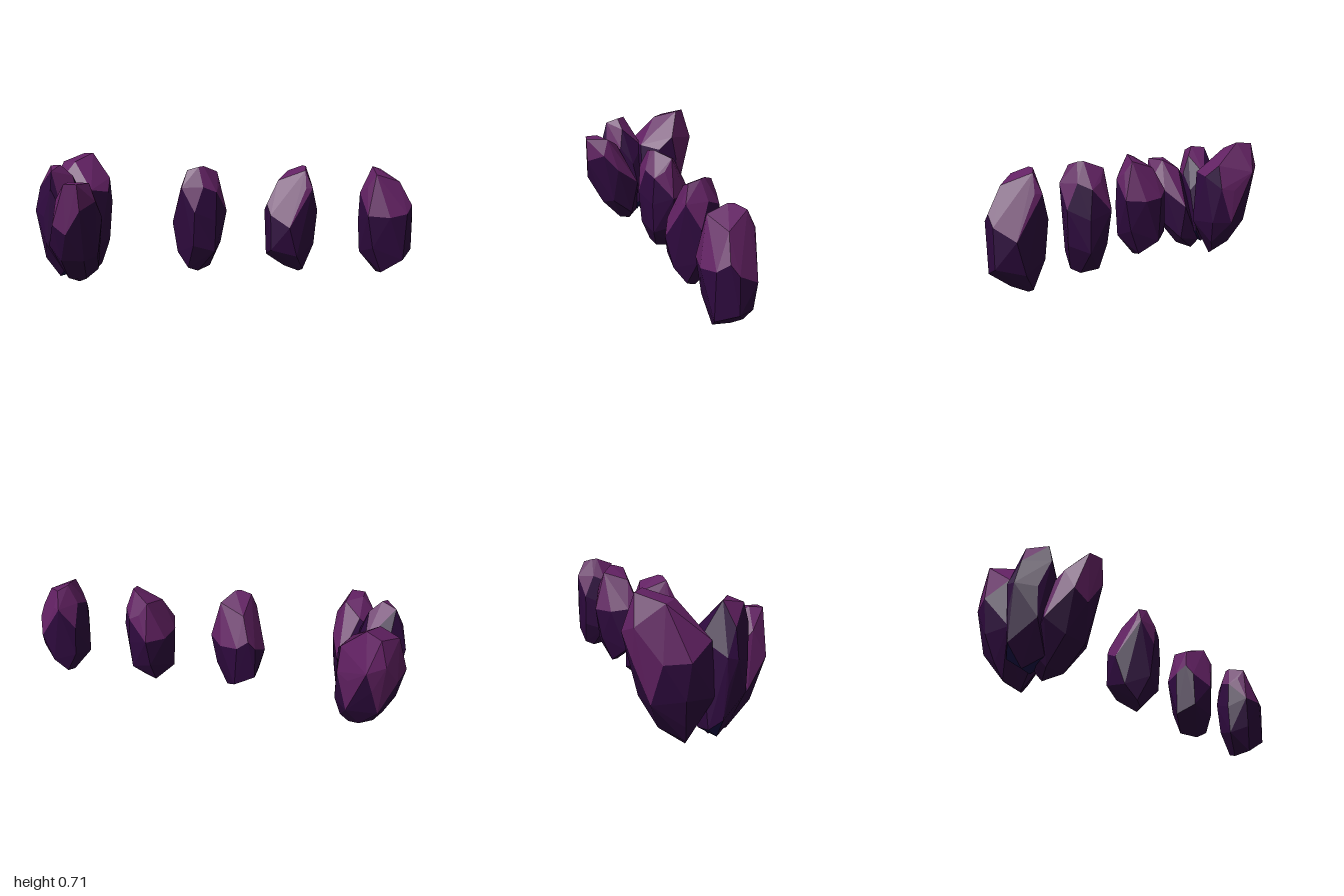
import * as THREE from 'three';
import { ConvexGeometry } from 'three/addons/geometries/ConvexGeometry.js';

// Cut stone: convex hull of its corners. Facets leaning towards the tip axis
// take the tip colour, facets facing well away from it the foot colour.
function makeCrystal(name, corners, tipAxis, materials, limit) {
  const hull = new ConvexGeometry(corners.map((c) => new THREE.Vector3(...c)));
  const pos = hull.getAttribute('position');
  const axis = new THREE.Vector3(...tipAxis).normalize();
  const sides = { Body: [], Tip: [], Foot: [] };
  const tri = new THREE.Triangle();
  const normal = new THREE.Vector3();
  for (let i = 0; i < pos.count; i += 3) {
    tri.setFromAttributeAndIndices(pos, i, i + 1, i + 2);
    tri.getNormal(normal);
    const lean = normal.dot(axis);
    const list = lean > limit ? sides.Tip : lean < -0.5 ? sides.Foot : sides.Body;
    for (const p of [tri.a, tri.b, tri.c]) list.push(p.x, p.y, p.z);
  }
  const group = new THREE.Group();
  group.name = name;
  for (const part of ['Body', 'Tip', 'Foot']) {
    const geometry = new THREE.BufferGeometry();
    geometry.setAttribute('position', new THREE.Float32BufferAttribute(sides[part], 3));
    geometry.computeVertexNormals();
    const mesh = new THREE.Mesh(geometry, materials[part]);
    mesh.name = name + part;
    group.add(mesh);
  }
  return group;
}

function makeMaterial(name, color) {
  const material = new THREE.MeshStandardMaterial({ color });
  material.name = name;
  return material;
}

export function createModel() {
  const dark = makeMaterial('dark purple', 0x2f0a3f);
  const light = makeMaterial('light purple', 0x622163);
  const blue = makeMaterial('dark blue', 0x171048);
  const plain = { Body: dark, Tip: light, Foot: dark };
  const blueFooted = { Body: dark, Tip: light, Foot: blue };

  const model = new THREE.Group();
  model.name = 'crystals';

  // Single crystal, repeated three times with different turns
  const single = [
    // tip
    [-0.07, 0.665, -0.015], [-0.065, 0.662, -0.045], [-0.02, 0.645, -0.085],
    [-0.06, 0.63, 0.085], [0.065, 0.59, 0.03],
    // shoulder
    [-0.135, 0.53, 0.02], [-0.1, 0.565, 0.065], [-0.11, 0.56, -0.05], [-0.03, 0.555, -0.13],
    [0, 0.555, -0.112], [0.13, 0.47, 0.045], [0.14, 0.415, 0.005], [0.1, 0.355, -0.095],
    [0.1, 0.43, 0.095], [0.01, 0.415, 0.135], [-0.1, 0.42, 0.118], [-0.14, 0.38, 0.01],
    [-0.1, 0.43, -0.1],
    // foot
    [0.14, 0.23, 0], [0.086, 0.19, 0.095], [-0.07, 0.25, 0.1], [-0.13, 0.215, 0.01],
    [-0.08, 0.25, -0.095], [0.05, 0.2, -0.1],
    [-0.035, 0.1, -0.03], [-0.02, 0.115, 0.065], [-0.015, 0.12, -0.08],
  ];
  const turn = THREE.MathUtils.degToRad(135);
  [[-0.13, turn], [0.365, -turn], [0.86, 0]].forEach(([x, angle], i) => {
    const crystal = makeCrystal('singleCrystal' + (i + 1), single, [0, 1, 0], plain, 0.15);
    crystal.position.set(x, 0, 0.03);
    crystal.rotation.y = angle;
    model.add(crystal);
  });

  // Cluster of three leaning crystals
  const cluster = new THREE.Group();
  cluster.name = 'crystalCluster';

  const back = [
    [-0.77, 0.707, -0.245], [-0.84, 0.7, -0.305], [-0.93, 0.66, -0.2], [-0.84, 0.665, -0.12],
    [-0.71, 0.6, -0.19], [-0.79, 0.53, -0.345], [-0.88, 0.56, -0.32], [-0.655, 0.43, -0.21],
    [-0.66, 0.57, -0.185], [-0.71, 0.42, -0.265], [-0.83, 0.4, -0.308], [-0.955, 0.41, -0.22],
    [-1, 0.42, -0.11], [-0.95, 0.5, 0], [-0.65, 0.5, -0.1], [-0.72, 0.52, 0],
    [-0.66, 0.22, -0.15], [-0.72, 0.22, -0.245], [-0.88, 0.22, -0.245], [-0.97, 0.25, -0.12],
    [-0.95, 0.25, 0.02], [-0.68, 0.22, 0],
    [-0.8, 0, -0.05], [-0.75, 0.03, -0.1], [-0.88, 0.04, -0.08], [-0.8, 0.09, -0.18],
    [-0.7, 0.09, -0.12], [-0.8, 0.09, 0], [-0.92, 0.12, -0.1],
  ];
  const front = [
    [-0.76, 0.595, 0.27], [-0.7, 0.59, 0.345], [-0.77, 0.59, 0.335], [-0.67, 0.585, 0.22],
    [-0.75, 0.53, 0.15], [-0.69, 0.455, 0.345], [-0.77, 0.33, 0.335], [-0.84, 0.38, 0.32],
    [-0.84, 0.5, 0.25], [-0.63, 0.495, 0.255], [-0.62, 0.4, 0.17], [-0.66, 0.35, 0.09],
    [-0.86, 0.42, 0.15], [-0.66, 0.3, 0.04],
    [-0.64, 0.2, 0.2], [-0.7, 0.18, 0.255], [-0.82, 0.18, 0.255], [-0.9, 0.25, 0.2],
    [-0.67, 0.1, 0.08], [-0.72, 0.06, 0.145], [-0.82, 0.06, 0.14], [-0.78, 0.025, 0.07],
    [-0.88, 0.15, 0.08], [-0.78, 0.08, 0.02],
  ];
  const side = [
    [-0.92, 0.66, 0.06], [-0.85, 0.668, 0.115], [-0.88, 0.64, 0.18], [-0.79, 0.61, 0.1],
    [-0.97, 0.55, 0.1], [-0.88, 0.55, 0.205], [-0.76, 0.5, 0.12], [-1, 0.43, 0.05],
    [-1, 0.42, 0.1], [-0.93, 0.4, 0.18], [-0.82, 0.42, 0.2], [-0.73, 0.4, 0.05],
    [-0.9, 0.5, -0.03], [-0.78, 0.5, -0.02],
    [-0.99, 0.3, 0.06], [-0.92, 0.25, 0.18], [-0.97, 0.15, 0.05], [-0.89, 0.05, 0.06],
    [-0.84, 0.1, 0.15], [-0.8, 0.07, 0.01], [-0.72, 0.15, 0], [-0.93, 0.1, 0],
  ];
  cluster.add(
    makeCrystal('backCrystal', back, [0, 0.9, -0.43], plain, 0.15),
    makeCrystal('frontCrystal', front, [0, 0.95, 0.3], plain, 0.15),
    makeCrystal('sideCrystal', side, [0, 0.98, 0.2], blueFooted, 0.38),
  );
  model.add(cluster);
  return model;
}
